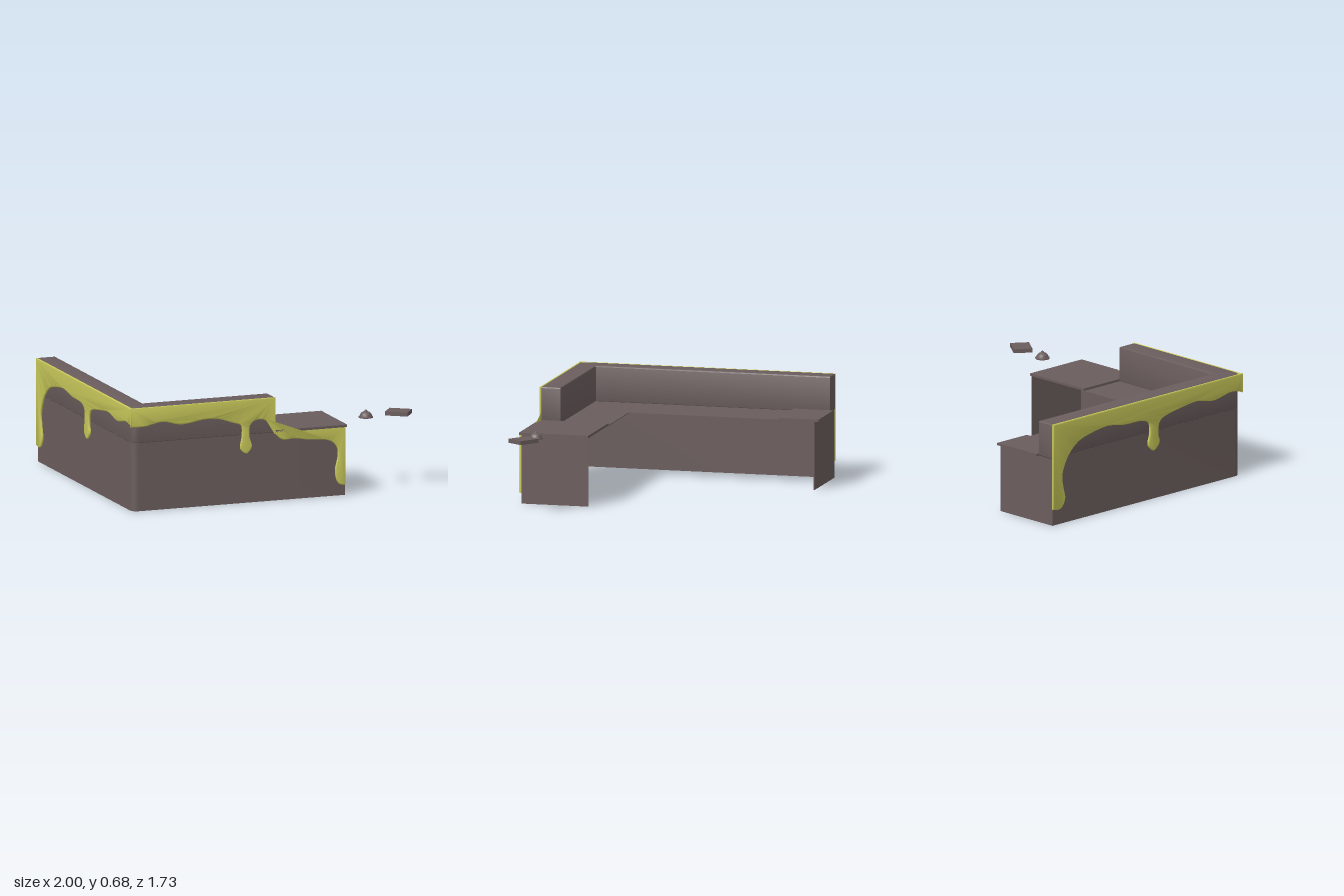
import * as THREE from 'three';
import { toCreasedNormals } from 'three/addons/utils/BufferGeometryUtils.js';

const body = new THREE.MeshStandardMaterial({ color: 0x6b5d5d, side: THREE.DoubleSide });
const slime = new THREE.MeshStandardMaterial({ color: 0xcccc5c });

const V = (list) => list.map(([x, y]) => new THREE.Vector2(x, y));

export function createModel() {
  const model = new THREE.Group();

  const add = (name, geometry, material = body) => {
    const mesh = new THREE.Mesh(geometry, material);
    mesh.name = name;
    model.add(mesh);
    return mesh;
  };
  const box = (name, x0, x1, y0, y1, z0, z1) =>
    add(name, new THREE.BoxGeometry(x1 - x0, y1 - y0, z1 - z0))
      .position.set((x0 + x1) / 2, (y0 + y1) / 2, (z0 + z1) / 2);

  // Floor plan whose outer corner, at (cx, cz), is rounded; other corners are [x, z]
  const plan = (before, cx, cz, r, after) => {
    const s = new THREE.Shape();
    before.forEach(([x, z], i) => (i ? s.lineTo(x, -z) : s.moveTo(x, -z)));
    s.lineTo(cx, -(cz - r));
    s.quadraticCurveTo(cx, -cz, cx + r, -cz);
    after.forEach(([x, z]) => s.lineTo(x, -z));
    s.closePath();
    return s;
  };
  const raise = (shape, y0, y1, bevel = 0) => {
    const g = new THREE.ExtrudeGeometry(shape, {
      depth: y1 - y0 - 2 * bevel, curveSegments: 10, bevelEnabled: bevel > 0,
      bevelThickness: bevel, bevelSize: bevel, bevelOffset: -bevel, bevelSegments: 3,
    });
    g.rotateX(-Math.PI / 2).translate(0, y0 + bevel, 0);
    return toCreasedNormals(g, 0.6);
  };

  // Thin outer shell: two long walls with a rounded corner plus two end panels
  const t = 0.006;
  const shell = plan([[-0.505, -0.84], [-0.985, -0.84]], -0.985, 0.845, 0.05,
    [[0.48, 0.845], [0.48, 0.4], [0.48 - t, 0.4], [0.48 - t, 0.845 - t]]);
  shell.curves.pop();
  shell.lineTo(-0.935, -(0.845 - t));
  shell.quadraticCurveTo(-0.985 + t, -(0.845 - t), -0.985 + t, -0.795);
  shell.lineTo(-0.985 + t, 0.84 - t);
  shell.lineTo(-0.505, 0.84 - t);
  shell.closePath();
  add('outerWall', raise(shell, 0, 0.449));

  // Raised parapet along both outer sides
  add('raisedCounter', raise(plan([[-0.865, -0.845], [-0.985, -0.845]], -0.985, 0.847, 0.05,
    [[-0.005, 0.847], [-0.005, 0.717], [-0.865, 0.717]]), 0.445, 0.68, 0.008));

  // Work surface and the two end tops
  add('deskTop', raise(plan([[-0.505, -0.6], [-0.98, -0.6]], -0.98, 0.84, 0.05,
    [[0, 0.84], [0, 0.4], [-0.505, 0.4]]), 0.444, 0.449));
  box('frontEndTop', -0.005, 0.49, 0.448, 0.464, 0.398, 0.86);
  box('backEndTop', -0.865, -0.503, 0.446, 0.461, -0.867, -0.6);

  // Dripping slime: straight corners, then a smooth wavy lower edge
  const drip = (corners, edge) => {
    const s = new THREE.Shape(V([...corners, edge[0]]));
    s.splineThru(V(edge.slice(1)));
    s.closePath();
    const g = new THREE.ExtrudeGeometry(s, {
      depth: 0.004, curveSegments: 7, bevelThickness: 0.006,
      bevelSize: 0.009, bevelOffset: -0.009, bevelSegments: 3,
    });
    g.translate(0, 0, 0.006);
    return toCreasedNormals(g, 0.9);
  };

  const front = drip(
    [[-1, 0.555], [-1, 0.68], [-0.002, 0.68], [-0.002, 0.45], [0.48, 0.45]],
    [[0.48, 0.068], [0.44, 0.075], [0.415, 0.115], [0.41, 0.18], [0.425, 0.25], [0.425, 0.31],
      [0.39, 0.355], [0.33, 0.377], [0.22, 0.385], [0.13, 0.4], [0.05, 0.397], [0, 0.435],
      [-0.035, 0.485], [-0.06, 0.525], [-0.1, 0.542], [-0.15, 0.535], [-0.18, 0.5], [-0.18, 0.43],
      [-0.165, 0.37], [-0.2, 0.325], [-0.245, 0.36], [-0.235, 0.44], [-0.24, 0.51], [-0.3, 0.535],
      [-0.4, 0.567], [-0.5, 0.57], [-0.65, 0.55], [-0.78, 0.577], [-0.9, 0.555], [-1, 0.555]]);
  add('frontSlime', front.translate(0, 0, 0.844), slime);

  const side = drip(
    [[-0.845, 0.11], [-0.845, 0.68], [0.858, 0.68]],
    [[0.858, 0.56], [0.75, 0.575], [0.6, 0.55], [0.45, 0.575], [0.3, 0.56], [0.16, 0.535],
      [0.11, 0.5], [0.1, 0.43], [0.112, 0.37], [0.06, 0.325], [0.01, 0.37], [0.025, 0.45],
      [0.015, 0.515], [-0.05, 0.545], [-0.2, 0.55], [-0.35, 0.572], [-0.5, 0.555], [-0.62, 0.52],
      [-0.71, 0.44], [-0.76, 0.33], [-0.75, 0.24], [-0.735, 0.17], [-0.76, 0.115], [-0.8, 0.1],
      [-0.845, 0.11]]);
  add('sideSlime', side.rotateY(-Math.PI / 2).translate(-0.984, 0, 0), slime);

  // Small desk bell beside the counter
  const bell = new THREE.LatheGeometry(V([[0, 0.464], [0.047, 0.464], [0.047, 0.471], [0.041, 0.474],
    [0.036, 0.488], [0.025, 0.499], [0.01, 0.505], [0.008, 0.513], [0, 0.514]]), 14);
  add('bell', toCreasedNormals(bell, 0.5)).position.set(0.682, 0, 0.695);

  // Flat block beside the bell
  const block = add('block', new THREE.BoxGeometry(0.15, 0.026, 0.122));
  block.position.set(0.899, 0.486, 0.717);
  block.rotation.y = -0.62;

  return model;
}
